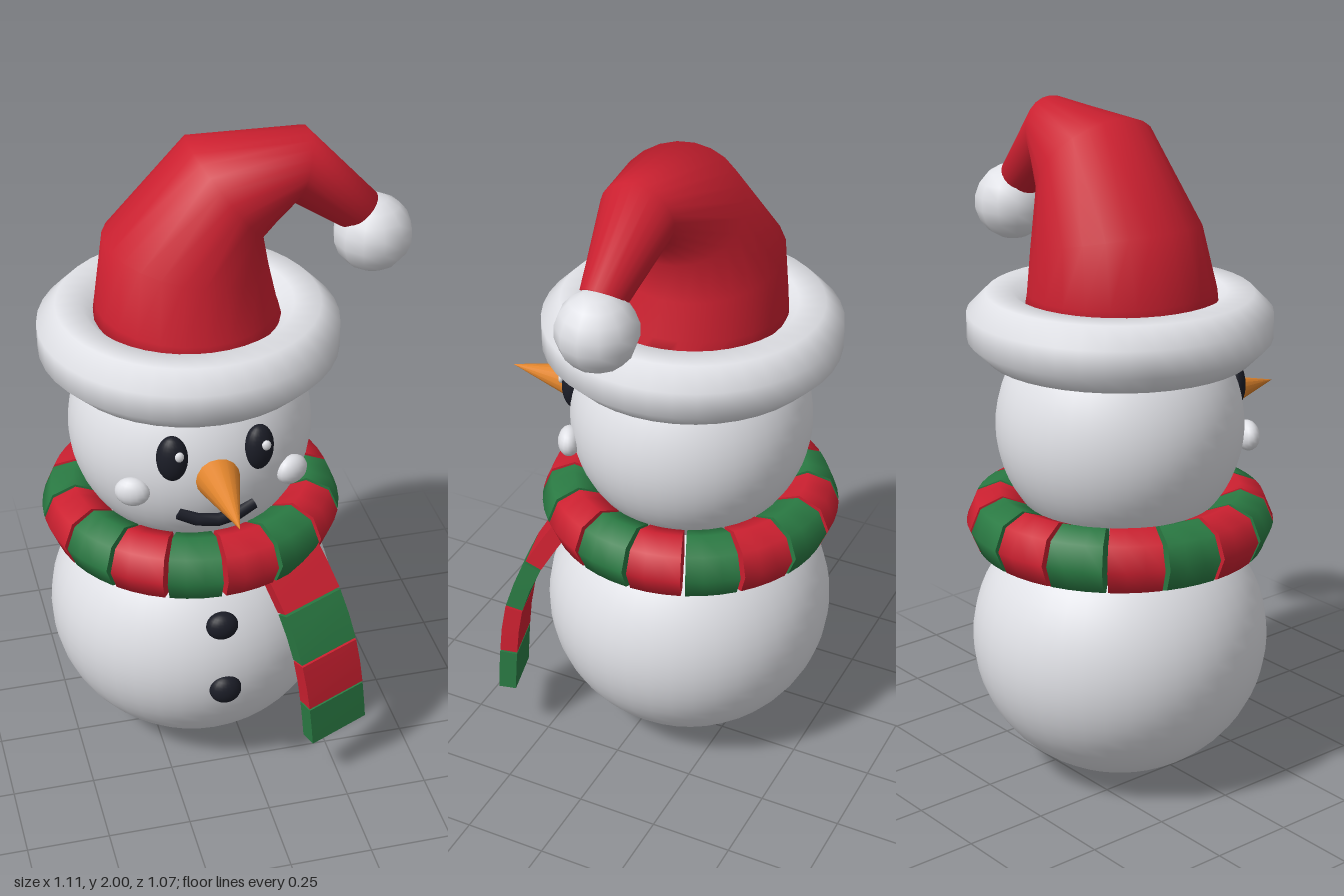
import * as THREE from 'three';
import { toCreasedNormals } from 'three/addons/utils/BufferGeometryUtils.js';

const V = (x, y, z) => new THREE.Vector3(x, y, z);
const CX = -0.104, CZ = -0.079; // vertical axis of the body

function material(name, color) {
  const m = new THREE.MeshStandardMaterial({ color });
  m.name = name;
  return m;
}

// Skin a list of equal-sized vertex rings, with end caps
function loft(rings) {
  const n = rings[0].length, last = (rings.length - 1) * n;
  const pos = rings.flat().flatMap(p => [p.x, p.y, p.z]);
  const idx = [];
  for (let i = 0; i < rings.length - 1; i++) {
    for (let j = 0; j < n; j++) {
      const a = i * n + j, b = i * n + (j + 1) % n;
      idx.push(a, b, b + n, a, b + n, a + n);
    }
  }
  for (let j = 1; j < n - 1; j++) {
    idx.push(0, j + 1, j, last, last + j, last + j + 1);
  }
  const g = new THREE.BufferGeometry();
  g.setAttribute('position', new THREE.Float32BufferAttribute(pos, 3));
  g.setIndex(idx);
  g.computeVertexNormals();
  return g;
}

export function createModel() {
  const snow = material('snow white', 0xe0e1e6);
  const red = material('red', 0xcc2030);
  const green = material('green', 0x2a7a43);
  const black = material('coal black', 0x1b1d27);
  const orange = material('carrot orange', 0xe0842c);

  const model = new THREE.Group();
  model.name = 'snowman';
  const add = (name, geo, mat) => {
    const mesh = new THREE.Mesh(geo, mat);
    mesh.name = name;
    model.add(mesh);
    return mesh;
  };
  const ball = (name, mat, x, y, z, rx, ry, rz, seg = 20) => {
    const mesh = add(name, new THREE.SphereGeometry(1, seg, Math.round(seg * 0.75)), mat);
    mesh.position.set(x, y, z);
    mesh.scale.set(rx, ry, rz);
    return mesh;
  };

  // Snowballs
  ball('body', snow, CX, 0.428, CZ, 0.443, 0.423, 0.443, 40);
  ball('head', snow, CX, 1.09, CZ, 0.364, 0.364, 0.364, 40);

  // Face
  for (const s of [-1, 1]) {
    const side = s > 0 ? 'left' : 'right';
    ball(side + 'Eye', black, CX + s * 0.127, 1.172, 0.25, 0.046, 0.073, 0.036).rotation.y = s * 0.3;
    ball(side + 'EyeGlint', snow, CX + s * 0.127 + 0.014, 1.195, 0.283, 0.014, 0.016, 0.01, 10);
    ball(side + 'Cheek', snow, CX + s * 0.237, 1.05, 0.21, 0.052, 0.045, 0.034, 16).rotation.y = s * 0.4;
  }
  const nose = add('nose', new THREE.ConeGeometry(0.073, 0.285, 16), orange);
  nose.rotation.x = Math.PI / 2;
  nose.position.set(CX, 1.1, 0.39);

  const smile = [-0.112, -0.06, 0, 0.06, 0.112].map(x =>
    V(CX + x, 0.952 + 2.4 * x * x, 0.27 - 1.5 * x * x));
  const mouthRings = smile.map((p, i) => {
    const t = smile[Math.min(i + 1, 4)].clone().sub(smile[Math.max(i - 1, 0)]).normalize();
    const up = V(0, 0, 1).cross(t).normalize(), out = t.clone().cross(up);
    return Array.from({ length: 10 }, (_, j) => {
      const a = j * Math.PI / 5;
      return p.clone().addScaledVector(up, 0.02 * Math.cos(a)).addScaledVector(out, 0.02 * Math.sin(a));
    });
  });
  add('mouth', toCreasedNormals(loft(mouthRings), 1), black);

  // Coal buttons
  ball('upperButton', black, CX, 0.6, 0.322, 0.049, 0.045, 0.035);
  ball('lowerButton', black, CX, 0.39, 0.362, 0.049, 0.047, 0.035);

  // Scarf loop: sixteen stripes with thin gaps
  const step = Math.PI / 8, gap = 0.016;
  for (let i = 0; i < 16; i++) {
    const rings = [0, 1, 2, 3].map(k => {
      const phi = i * step + gap + (step - 2 * gap) * k / 3;
      return Array.from({ length: 8 }, (_, j) => {
        const a = j * Math.PI / 4, r = 0.356 + 0.098 * Math.cos(a);
        return V(CX + r * Math.cos(phi), 0.798 + 0.098 * Math.sin(a), CZ + r * Math.sin(phi));
      });
    });
    add('scarfStripe' + (i + 1), toCreasedNormals(loft(rings), 1), i % 2 ? red : green);
  }

  // Hanging scarf end: four flat stripes following a curve
  const path = new THREE.CatmullRomCurve3([
    V(0.105, 0.79, 0.215), V(0.168, 0.63, 0.307), V(0.206, 0.476, 0.358),
    V(0.228, 0.317, 0.371), V(0.24, 0.18, 0.374)]);
  const across = V(0.94, 0.15, -0.29).normalize();
  for (let i = 0; i < 4; i++) {
    const rings = [0.02, 0.5, 0.98].map(k => {
      const t = (i + k) / 4, p = path.getPoint(t);
      const n = path.getTangent(t).cross(across).normalize();
      return [[1, -1], [1, 1], [-1, 1], [-1, -1]].map(([u, v]) =>
        p.clone().addScaledVector(across, u * 0.097).addScaledVector(n, v * 0.027));
    });
    add('scarfTail' + (i + 1), toCreasedNormals(loft(rings), 0.9), i % 2 ? green : red);
  }

  // Hat brim: an octagonal roll
  const roll = Array.from({ length: 9 }, (_, j) => {
    const a = (j + 3.5) * Math.PI / 4;
    return new THREE.Vector2(0.346 + 0.103 * Math.cos(a), 0.103 * Math.sin(a));
  });
  add('hatBrim', new THREE.LatheGeometry(roll, 40), snow).position.set(CX, 1.395, CZ);

  // Floppy hat: rings given by outer point, inner point, z centre, z half-width
  const hat = [
    [-0.39, 1.40, 0.18, 1.40, -0.075, 0.285],
    [-0.375, 1.50, 0.152, 1.49, -0.077, 0.28],
    [-0.344, 1.70, 0.13, 1.60, -0.095, 0.25],
    [-0.10, 1.98, 0.107, 1.70, -0.08, 0.20],
    [0.24, 2.0, 0.185, 1.79, -0.06, 0.11],
    [0.445, 1.78, 0.34, 1.69, -0.05, 0.067],
  ].map(([ox, oy, ix, iy, z, hz]) => Array.from({ length: 24 }, (_, j) => {
    const a = j * Math.PI / 12, c = Math.cos(a) / 2;
    return V((ox + ix) / 2 + c * (ix - ox), (oy + iy) / 2 + c * (iy - oy), z - hz * Math.sin(a));
  }));
  add('hat', loft(hat), red);
  ball('pompom', snow, 0.438, 1.655, -0.052, 0.117, 0.115, 0.117, 12);

  return model;
}
